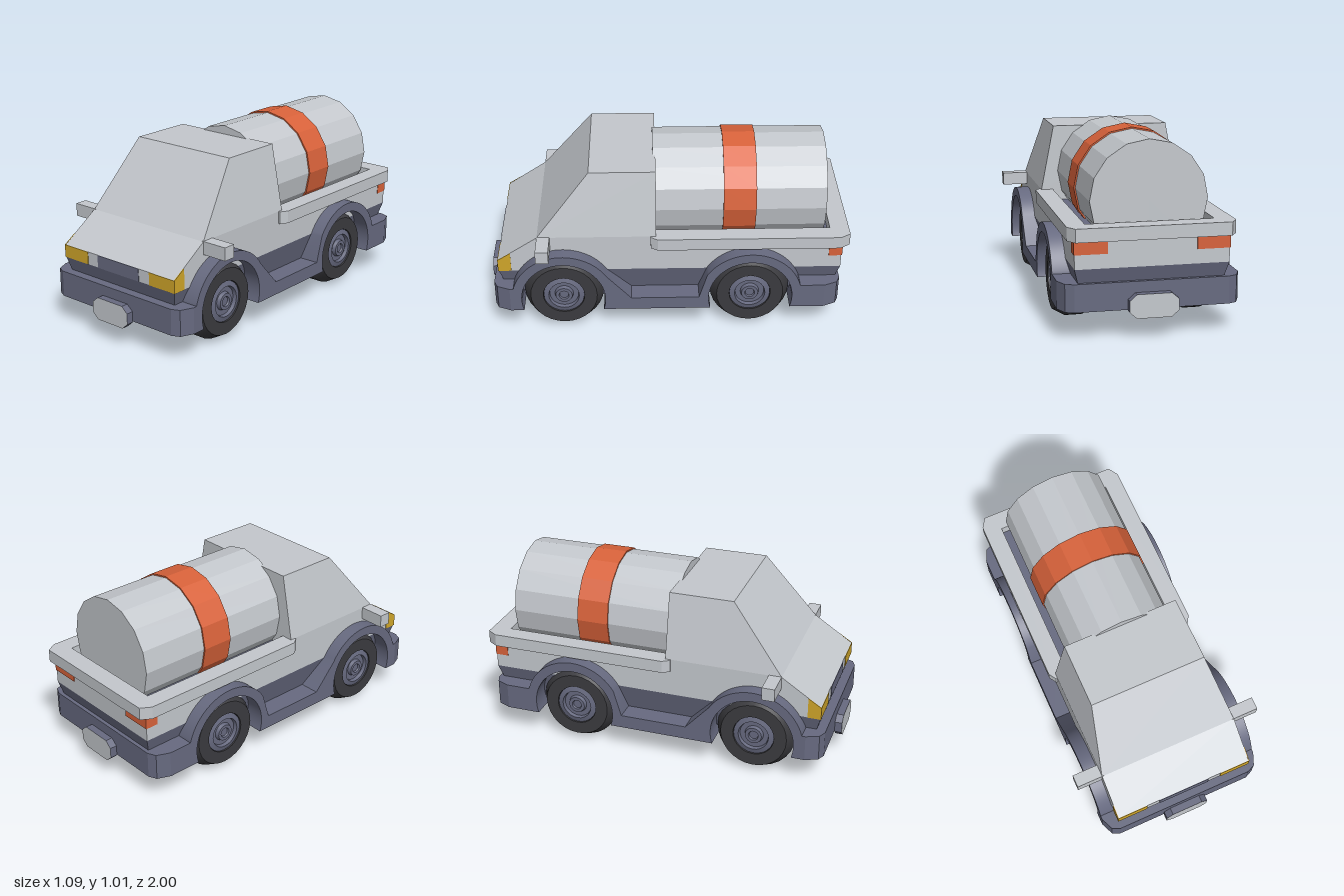
import * as THREE from 'three';
import { toCreasedNormals } from 'three/addons/utils/BufferGeometryUtils.js';

const mat = (name, color) => {
  const m = new THREE.MeshStandardMaterial({ color });
  m.name = name;
  return m;
};

export function createModel() {
  const light = mat('light grey paint', 0xc4c8cd);
  const slate = mat('slate trim', 0x676a80);
  const rubber = mat('tyre rubber', 0x3b3b3f);
  const orange = mat('orange', 0xd8623a);
  const yellow = mat('headlight yellow', 0xd0a62a);

  const truck = new THREE.Group();
  truck.name = 'tankTruck';
  const add = (name, geo, material, parent = truck) => {
    const mesh = new THREE.Mesh(geo, material);
    mesh.name = name;
    parent.add(mesh);
    return mesh;
  };
  const poly = (pts) => new THREE.Shape(pts.map(([a, b]) => new THREE.Vector2(a, b)));
  const box = (name, material, x0, x1, y0, y1, z0, z1) =>
    add(name, new THREE.BoxGeometry(x1 - x0, y1 - y0, z1 - z0)
      .translate((x0 + x1) / 2, (y0 + y1) / 2, (z0 + z1) / 2), material);
  const extrude = (shape, depth) =>
    new THREE.ExtrudeGeometry(shape, { depth, bevelEnabled: false, curveSegments: 20 });
  // Side profile in (z, y), spanning x0..x1
  const side = (shape, x0, x1) => extrude(shape, x1 - x0).rotateY(-Math.PI / 2).translate(x1, 0, 0);
  // Plan outline in (x, z), spanning y0..y1
  const plan = (shape, y0, y1) => extrude(shape, y1 - y0).rotateX(Math.PI / 2).translate(0, y1, 0);
  // Move vertices of a geometry by a rule
  const warp = (geo, rule) => {
    const p = geo.attributes.position, v = new THREE.Vector3();
    for (let i = 0; i < p.count; i++) {
      rule(v.fromBufferAttribute(p, i));
      p.setXYZ(i, v.x, v.y, v.z);
    }
    geo.computeVertexNormals();
    return geo;
  };

  // Lower body with sloping bonnet
  add('body', side(poly([[0.93, 0.37], [0.93, 0.44], [0.71, 0.585], [0.06, 0.585],
    [0.06, 0.52], [-0.96, 0.52], [-0.96, 0.37]]), -0.4, 0.4), light);

  // Cab, narrowing towards the roof
  add('cab', warp(side(poly([[0.71, 0.585], [0.42, 0.95], [0.06, 0.95], [0.06, 0.585]]), -0.4, 0.4),
    (v) => { if (v.y > 0.6) v.x *= 0.82; }), light);

  // Tapered skirt under the body
  add('skirt', warp(new THREE.BoxGeometry(0.8, 0.17, 1.89).toNonIndexed().translate(0, 0.285, -0.015), (v) => {
    if (v.y < 0.3) { v.x *= 0.885; v.z *= 0.95; }
  }), slate);

  // Chassis floor and chamfered bumpers
  box('floor', slate, -0.335, 0.335, 0.15, 0.22, -0.735, 0.85);
  const bumper = (name, s, inner) => add(name, plan(poly([[-0.475, inner], [-0.475, s * 0.87],
    [-0.445, s * 0.94], [-0.4, s * 0.96], [0.4, s * 0.96], [0.445, s * 0.94],
    [0.475, s * 0.87], [0.475, inner]]), 0.15, 0.295), slate);
  bumper('frontBumper', 1, 0.85);
  bumper('rearBumper', -1, -0.735);

  // Fender panels with wheel arches, joined by a sill
  const axles = [0.575, -0.46], wheelY = 0.22, rad = Math.PI / 180;
  const panel = new THREE.Shape();
  panel.moveTo(0.85, 0.15);
  panel.lineTo(0.85, 0.295);
  panel.absarc(axles[0], wheelY, 0.285, 15 * rad, 148 * rad, false);
  panel.lineTo(0.2, 0.225);
  panel.lineTo(-0.175, 0.225);
  panel.absarc(axles[1], wheelY, 0.285, 32 * rad, 165 * rad, false);
  panel.lineTo(-0.735, 0.15);
  panel.absarc(axles[1], wheelY, 0.232, 197.5 * rad, -17.5 * rad, true);
  panel.absarc(axles[0], wheelY, 0.232, 197.5 * rad, -17.5 * rad, true);
  for (const [name, x0, x1] of [['leftFenders', 0.33, 0.475], ['rightFenders', -0.475, -0.33]])
    add(name, toCreasedNormals(side(panel, x0, x1), 0.5), slate);

  // Wheels
  const lathe = (pts, n) => toCreasedNormals(
    new THREE.LatheGeometry(pts.map(([r, y]) => new THREE.Vector2(r, y)), n).rotateZ(-Math.PI / 2), 0.4);
  const tyreGeo = lathe([[0, -0.1075], [0.185, -0.1075], [0.22, -0.045], [0.22, 0.045],
    [0.185, 0.1075], [0.115, 0.1075], [0.115, 0.08], [0, 0.08]], 28);
  const hubGeo = lathe([[0.115, 0.08], [0.113, 0.1], [0.085, 0.108], [0.08, 0.088], [0.052, 0.088],
    [0.046, 0.108], [0.028, 0.108], [0.024, 0.098], [0, 0.098]], 24);
  for (const z of axles) for (const s of [1, -1]) {
    const wheel = new THREE.Group();
    wheel.name = (z > 0 ? 'front' : 'rear') + (s > 0 ? 'Left' : 'Right') + 'Wheel';
    add('tyre', tyreGeo, rubber, wheel);
    add('hub', hubGeo, slate, wheel);
    wheel.position.set(s * 0.3275, wheelY, z);
    if (s < 0) wheel.rotation.y = Math.PI;
    truck.add(wheel);
  }

  // Load bed and its rail
  box('bedFloor', slate, -0.335, 0.335, 0.515, 0.525, -0.895, 0.06);
  add('bedRail', plan(poly([[0.335, 0.09], [0.41, 0.09], [0.435, 0.05], [0.435, -0.945], [0.4, -1],
    [-0.4, -1], [-0.435, -0.945], [-0.435, 0.05], [-0.41, 0.09], [-0.335, 0.09],
    [-0.335, -0.895], [0.335, -0.895]]), 0.515, 0.585), light);

  // Faceted tank with a band around it
  const drum = (name, r, z0, z1, material) => add(name, toCreasedNormals(
    new THREE.CylinderGeometry(r, r, z1 - z0, 16).rotateX(Math.PI / 2)
      .translate(0, 0.693, (z0 + z1) / 2), 0.1), material);
  drum('tank', 0.306, -0.875, 0.075, light);
  drum('tankBand', 0.314, -0.49, -0.31, orange);

  // Grille
  box('grille', slate, -0.15, 0.15, 0.37, 0.44, 0.928, 0.933);

  // Lamps wrapping the corners, and mirrors
  const lampSide = poly([[0.933, 0.37], [0.933, 0.44], [0.86, 0.486], [0.86, 0.37]]);
  for (const s of [1, -1]) {
    const span = (a, b) => (s > 0 ? [a, b] : [-b, -a]);
    box('headlight', yellow, ...span(0.225, 0.4), 0.37, 0.44, 0.928, 0.933);
    add('headlightSide', side(lampSide, ...span(0.398, 0.403)), yellow);
    box('tailLight', orange, ...span(0.23, 0.403), 0.445, 0.512, -0.964, -0.957);
    box('tailLightSide', orange, ...span(0.397, 0.403), 0.445, 0.512, -0.96, -0.89);
    box('mirror', light, ...span(0.39, 0.545), 0.515, 0.587, 0.64, 0.71);
  }

  // Octagonal plates on the bumpers
  const plate = poly([[-0.09, 0.112], [0.09, 0.112], [0.127, 0.145], [0.127, 0.205],
    [0.09, 0.237], [-0.09, 0.237], [-0.127, 0.205], [-0.127, 0.145]]);
  add('frontPlate', extrude(plate, 0.04).translate(0, 0, 0.96), [light, slate]);
  add('rearPlate', extrude(plate, 0.04).translate(0, 0, -1), [light, slate]);

  return truck;
}
